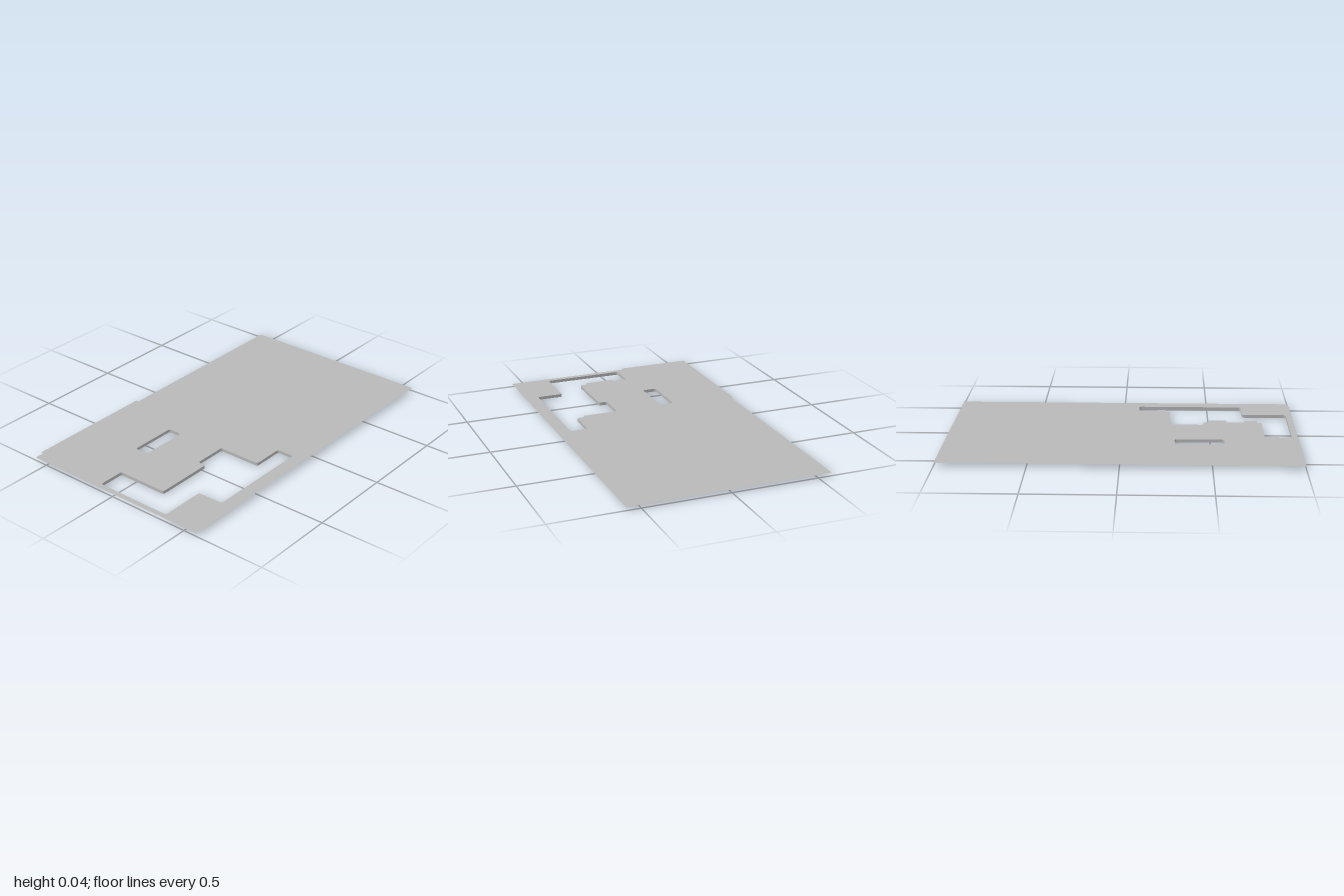
import * as THREE from 'three';

const SHEET_Y = 0.018, ROOF_Y = 0.038;

// Outline given as [x, z] corners; every corner is rounded when r > 0
function outline(pts, r = 0, path = new THREE.Shape()) {
  const v = pts.map(([x, z]) => new THREE.Vector2(x, -z));
  v.forEach((p, i) => {
    const prev = v[(i + v.length - 1) % v.length], next = v[(i + 1) % v.length];
    const a = p.clone().add(prev.clone().sub(p).setLength(r));
    const b = p.clone().add(next.clone().sub(p).setLength(r));
    if (i === 0) path.moveTo(a.x, a.y); else path.lineTo(a.x, a.y);
    if (r > 0) path.quadraticCurveTo(p.x, p.y, b.x, b.y);
  });
  path.closePath();
  return path;
}

// Flat horizontal plate
function plate(name, shape, y, material) {
  const geo = new THREE.ShapeGeometry(shape, 4).rotateX(-Math.PI / 2);
  const mesh = new THREE.Mesh(geo, material);
  mesh.position.y = y;
  mesh.name = name;
  return mesh;
}

// Open band hanging from the sheet around a cut-out
function skirt(name, path, material) {
  const pts = path.getPoints(4), pos = [];
  pts.forEach((p, i) => {
    const q = pts[(i + 1) % pts.length];
    if (p.distanceTo(q) < 1e-6) return;
    const [a, b, c, d] = [[p.x, 0, -p.y], [q.x, 0, -q.y], [q.x, SHEET_Y, -q.y], [p.x, SHEET_Y, -p.y]];
    pos.push(...a, ...b, ...c, ...a, ...c, ...d);
  });
  const geo = new THREE.BufferGeometry();
  geo.setAttribute('position', new THREE.Float32BufferAttribute(pos, 3));
  geo.computeVertexNormals();
  const mesh = new THREE.Mesh(geo, material);
  mesh.name = name;
  return mesh;
}

export function createModel() {
  const group = new THREE.Group();
  group.name = 'sitePlan';
  const grey = new THREE.MeshStandardMaterial({ color: 0xb8b8b8, side: THREE.DoubleSide });
  grey.name = 'grey';

  // Cut-outs in the ground sheet
  const cutouts = {
    steppedCutout: [
      [-0.968, -0.112], [-0.813, -0.112], [-0.813, 0.193], [-0.471, 0.193],
      [-0.471, 0.144], [-0.275, 0.144], [-0.275, 0.4], [-0.09, 0.4],
      [-0.09, 0.503], [-0.706, 0.503], [-0.706, 0.35], [-0.968, 0.35],
    ],
    smallCutout: [[-0.58, -0.22], [-0.3, -0.22], [-0.3, -0.135], [-0.58, -0.135]],
  };

  // Ground sheet with skirts below the cut-outs
  const ground = outline([[-1, -0.581], [1, -0.581], [1, 0.581], [-1, 0.581]]);
  for (const [name, pts] of Object.entries(cutouts)) {
    const hole = outline(pts, 0.015, new THREE.Path());
    ground.holes.push(hole);
    group.add(skirt(name + 'Skirt', hole, grey));
  }
  group.add(plate('groundSheet', ground, SHEET_Y, grey));

  // Raised building footprints with small notches
  const footprints = {
    backFootprint: [
      [-0.965, -0.573], [-0.198, -0.573], [-0.198, -0.396], [-0.27, -0.396], [-0.27, -0.433],
      [-0.377, -0.433], [-0.377, -0.396], [-0.61, -0.396], [-0.61, -0.142], [-0.965, -0.142],
    ],
    cornerFootprint: [
      [-0.219, -0.214], [0.626, -0.214], [0.626, 0.396], [0.551, 0.396], [0.551, 0.369],
      [0.449, 0.369], [0.449, 0.396], [0.348, 0.396], [0.348, -0.037], [-0.04, -0.037],
      [-0.04, -0.07], [-0.144, -0.07], [-0.144, -0.037], [-0.219, -0.037],
    ],
    smallFootprint: [
      [-0.783, -0.011], [-0.503, -0.011], [-0.503, 0.166], [-0.604, 0.166],
      [-0.604, 0.134], [-0.711, 0.134], [-0.711, 0.166], [-0.783, 0.166],
    ],
    middleFootprint: [
      [-0.246, 0.144], [0.112, 0.144], [0.112, 0.372], [0.064, 0.372], [0.064, 0.342],
      [-0.045, 0.342], [-0.045, 0.372], [-0.091, 0.372], [-0.091, 0.342],
      [-0.198, 0.342], [-0.198, 0.372], [-0.246, 0.372],
    ],
  };
  for (const [name, pts] of Object.entries(footprints)) {
    group.add(plate(name, outline(pts), ROOF_Y, grey));
  }
  return group;
}
